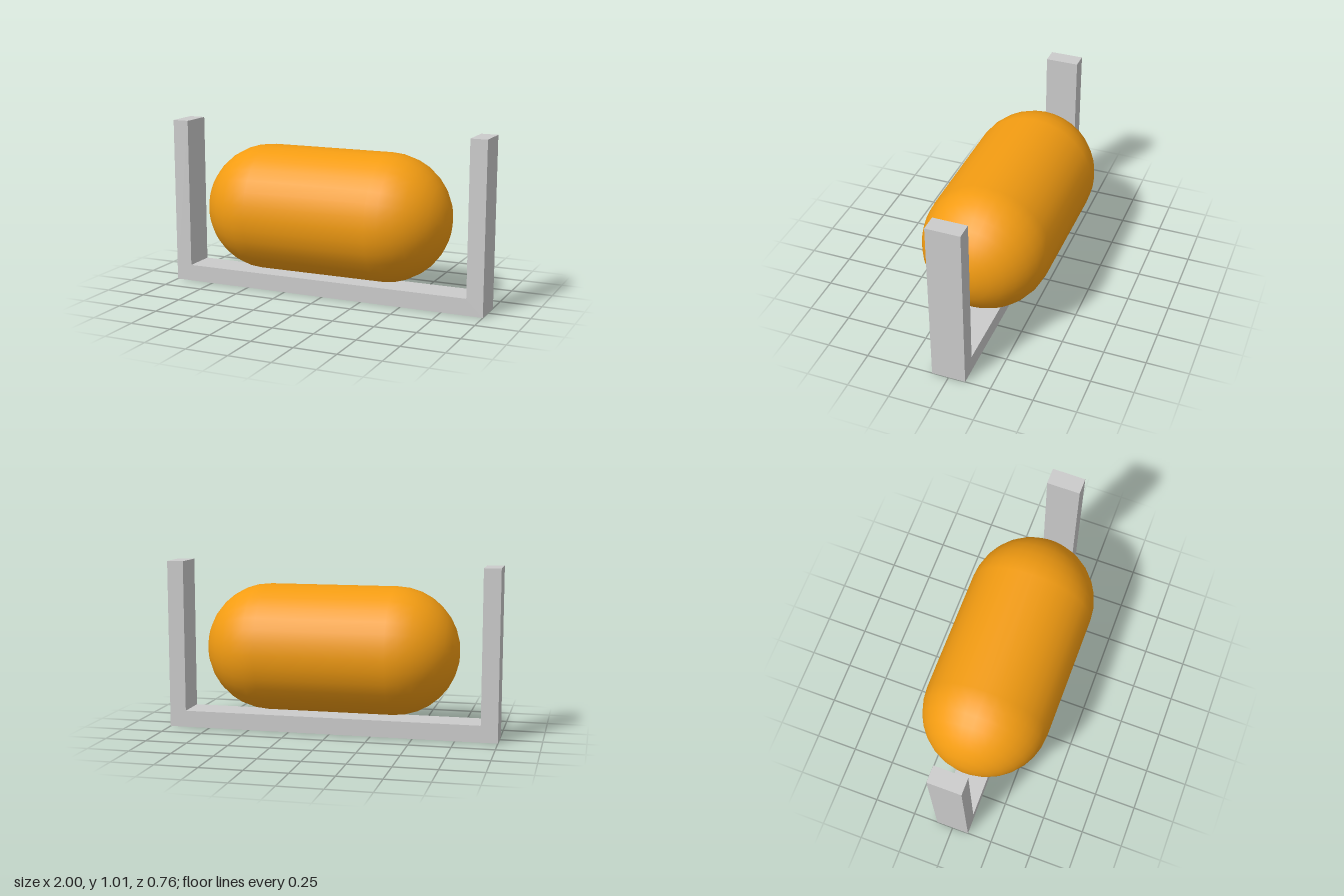
import * as THREE from 'three';

export function createModel() {
  const model = new THREE.Group();

  // U-shaped cradle: base bar with an upright at each end
  const profile = new THREE.Shape([
    [-1, 0], [1, 0], [1, 1.015], [0.9, 1.015], [0.9, 0.1], [-0.9, 0.1], [-0.9, 1.01], [-1, 1.01],
  ].map(([x, y]) => new THREE.Vector2(x, y)));
  const cradleGeometry = new THREE.ExtrudeGeometry(profile, { depth: 0.2, bevelEnabled: false });
  cradleGeometry.translate(0, 0, -0.1);
  const cradle = new THREE.Mesh(cradleGeometry, new THREE.MeshStandardMaterial({ color: 0xcccccc }));
  cradle.name = 'cradle';
  model.add(cradle);

  // Horizontal capsule floating just above the base bar
  const capsuleGeometry = new THREE.CapsuleGeometry(0.38, 0.76, 8, 32);
  capsuleGeometry.rotateZ(Math.PI / 2);
  const capsule = new THREE.Mesh(capsuleGeometry, new THREE.MeshStandardMaterial({ color: 0xf39c12 }));
  capsule.name = 'capsule';
  capsule.position.y = 0.505;
  model.add(capsule);

  return model;
}
